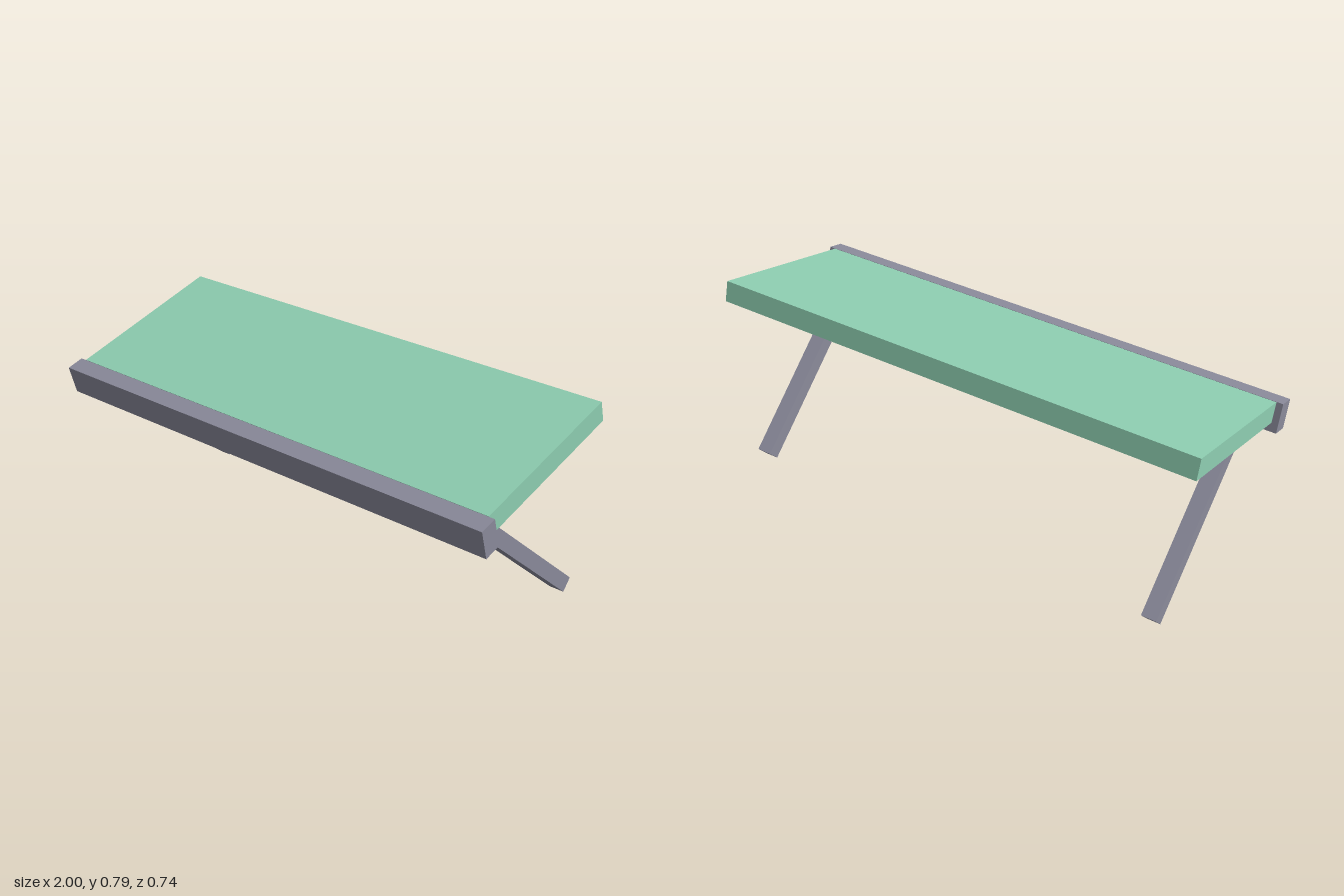
import * as THREE from 'three';

const PITCH = 0.28; // slope of the canopy, rising to the back
const LEG_PITCH = -0.701; // legs slope down to the back

export function createModel() {
  const model = new THREE.Group();
  model.name = 'awning';

  const green = new THREE.MeshStandardMaterial({ color: 0x8fd0b3 });
  green.name = 'pale green';
  const grey = new THREE.MeshStandardMaterial({ color: 0x8c8c9c });
  grey.name = 'slate grey';

  const addBox = (name, size, position, tilt, material) => {
    const mesh = new THREE.Mesh(new THREE.BoxGeometry(...size), material);
    mesh.name = name;
    mesh.position.set(...position);
    mesh.rotation.x = tilt;
    model.add(mesh);
  };

  // Sloping canopy slab
  addBox('canopy', [1.95, 0.08, 0.662], [0, 0.656, -0.026], PITCH, green);

  // Bar across the front edge, square to the canopy
  addBox('frontBar', [2, 0.115, 0.07], [0, 0.538, 0.3225], PITCH, grey);

  // Slanted support on each side
  for (const [side, x] of [['left', 0.86], ['right', -0.86]]) {
    addBox(`${side}Leg`, [0.06, 0.058, 0.792], [x, 0.278, -0.049], LEG_PITCH, grey);
  }

  return model;
}
